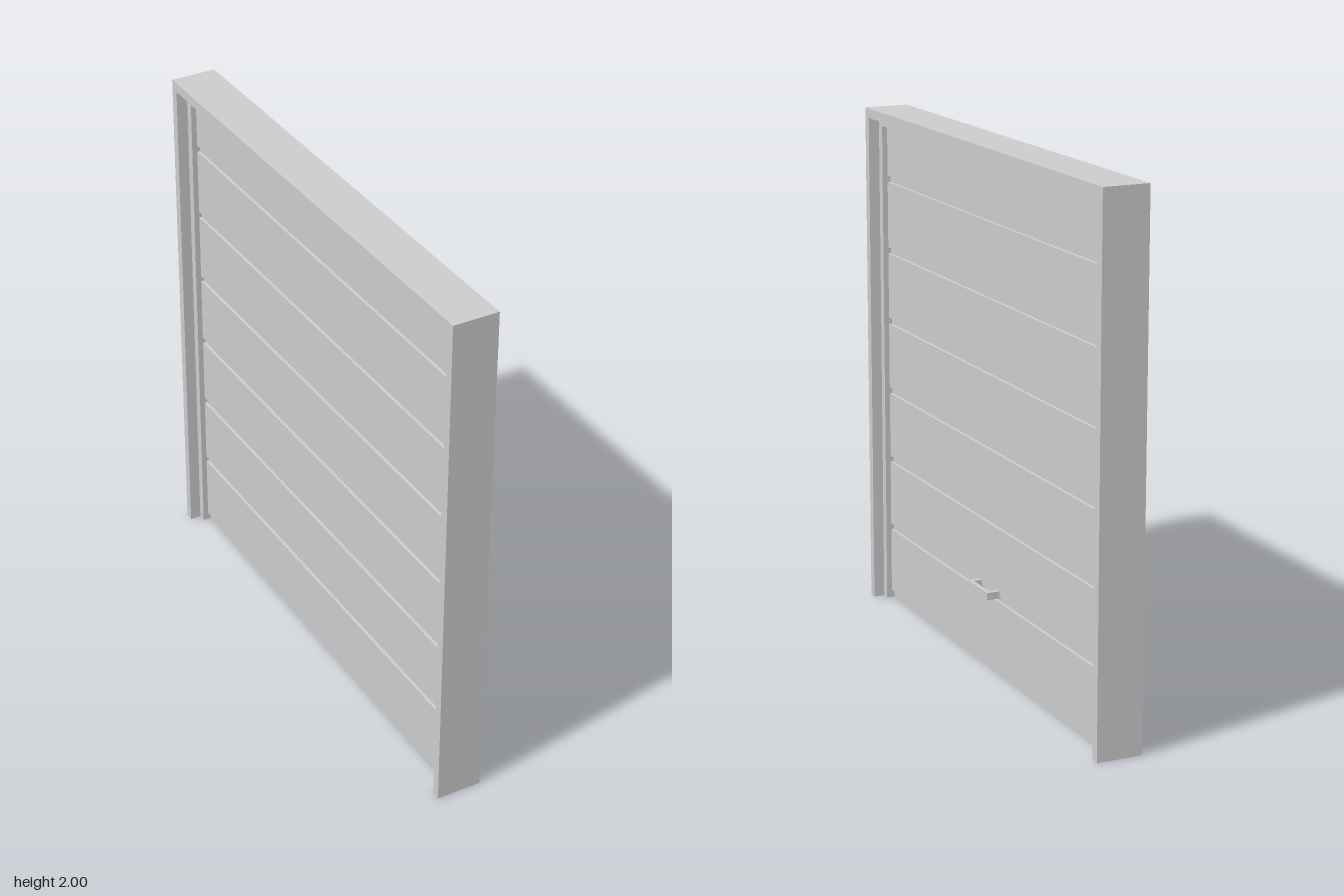
import * as THREE from 'three';

const material = new THREE.MeshStandardMaterial({ color: 0xcccccc, flatShading: true });

function add(parent, geometry, name) {
  const mesh = new THREE.Mesh(geometry, material);
  mesh.name = name;
  parent.add(mesh);
  return mesh;
}

function box(parent, name, size, position) {
  const mesh = add(parent, new THREE.BoxGeometry(...size), name);
  mesh.position.set(...position);
}

// Inverted U standing on the ground, open at the bottom, extruded across x
function portal(parent, name, outer, inner, topOuter, topInner, depth) {
  const shape = new THREE.Shape([
    [-outer, 0], [-inner, 0], [-inner, topInner], [inner, topInner],
    [inner, 0], [outer, 0], [outer, topOuter], [-outer, topOuter],
  ].map(([x, y]) => new THREE.Vector2(x, y)));
  const geometry = new THREE.ExtrudeGeometry(shape, { depth, bevelEnabled: false });
  geometry.translate(0, 0, -depth / 2);
  geometry.rotateY(Math.PI / 2);
  add(parent, geometry, name);
}

export function createModel() {
  const model = new THREE.Group();
  model.name = 'sectionalDoor';

  // Stepped surround: deep outer frame and shallower door stop
  portal(model, 'outerFrame', 1, 0.967, 2, 1.963, 0.176);
  portal(model, 'doorStop', 0.967, 0.936, 1.963, 1.933, 0.09);

  // Door leaf: thin core with raised panels on both faces
  const door = new THREE.Group();
  door.name = 'door';
  model.add(door);
  const width = 1.872, top = 1.933, pitch = 0.2843, gap = 0.025;
  box(door, 'doorCore', [0.024, top, width], [0, top / 2, 0]);
  for (let i = 0; i < 7; i++) {
    const low = 0.03 + i * pitch;
    const high = Math.min(low + pitch - gap, top);
    box(door, 'panel' + (i + 1), [0.048, high - low, width], [0, (low + high) / 2, 0]);
  }

  // Pull handle: bar on two legs, on the +x face only
  const handle = new THREE.Group();
  handle.name = 'handle';
  handle.position.set(0, 0.32, 0);
  model.add(handle);
  box(handle, 'handleBar', [0.016, 0.028, 0.17], [0.066, 0, 0]);
  for (const side of [-1, 1]) {
    box(handle, 'handleLeg', [0.05, 0.028, 0.018], [0.035, 0, side * 0.076]);
  }

  return model;
}
